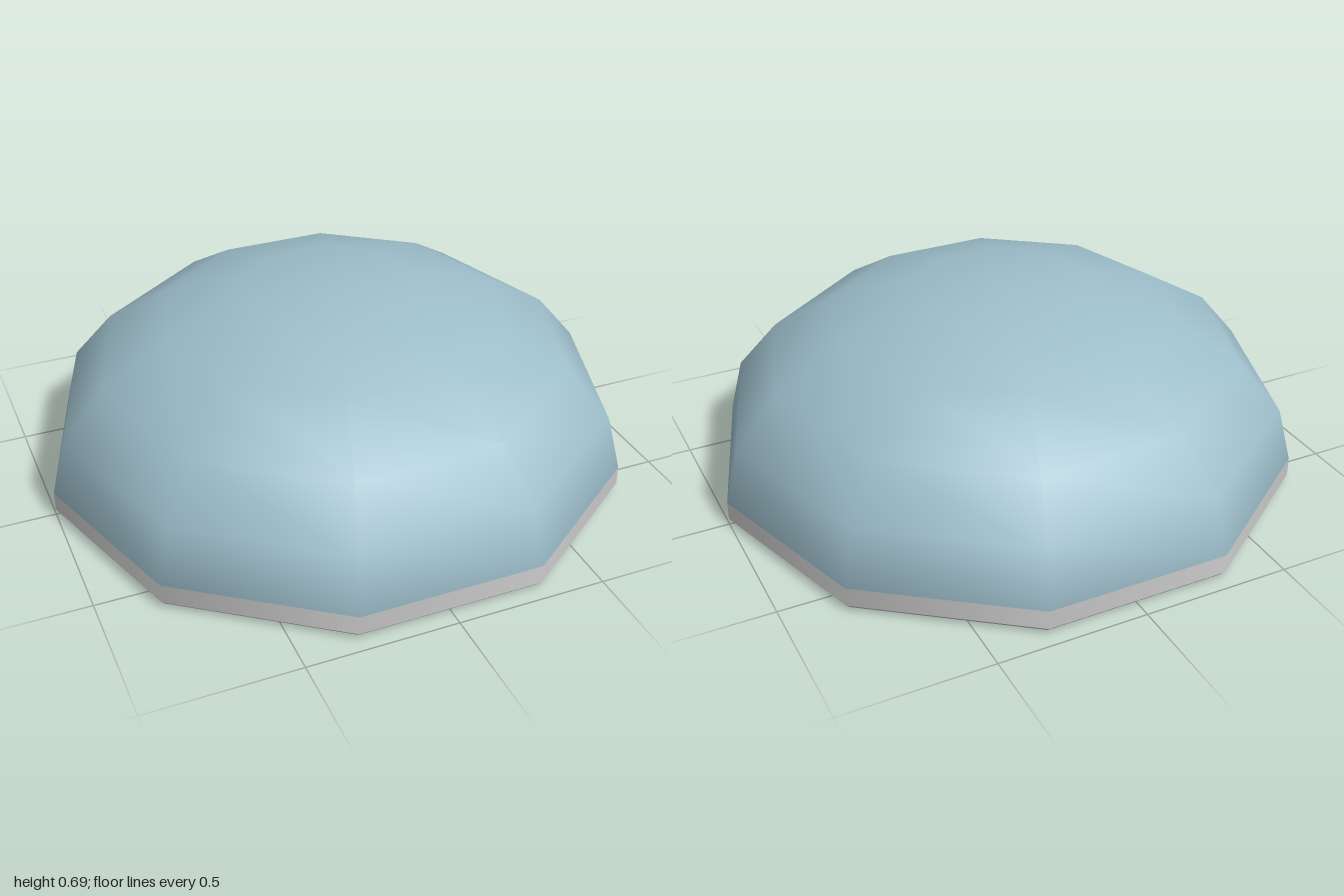
import * as THREE from 'three';

const SIDES = 10;
const BEVEL = 0.02;  // height and inset of the chamfer under the rim
const RIM_TOP = 0.085;
const DOME_HEIGHT = 0.603;

export function createModel() {
  const group = new THREE.Group();
  const grey = new THREE.MeshStandardMaterial({ color: 0xcccccc });
  const blue = new THREE.MeshStandardMaterial({ color: 0x9dbeca });

  function add(name, geometry, material, y) {
    const mesh = new THREE.Mesh(geometry, material);
    mesh.name = name;
    mesh.position.y = y;
    group.add(mesh);
  }

  // Ten-sided ring with corners on the x axis
  function ring(top, bottom, height, open) {
    return new THREE.CylinderGeometry(top, bottom, height, SIDES, 1, open).rotateY(Math.PI / 2);
  }

  // Flattened half sphere
  const dome = new THREE.SphereGeometry(1, SIDES, 5, 0, Math.PI * 2, 0, Math.PI / 2);
  dome.scale(1, DOME_HEIGHT, 1);
  add('dome', dome, blue, RIM_TOP);

  // Upright band below the dome
  add('rim', ring(1, 1, RIM_TOP - BEVEL, true), grey, (RIM_TOP + BEVEL) / 2);

  // Chamfered underside with a flat bottom
  add('base', ring(1, 1 - BEVEL, BEVEL, false), grey, BEVEL / 2);

  return group;
}
